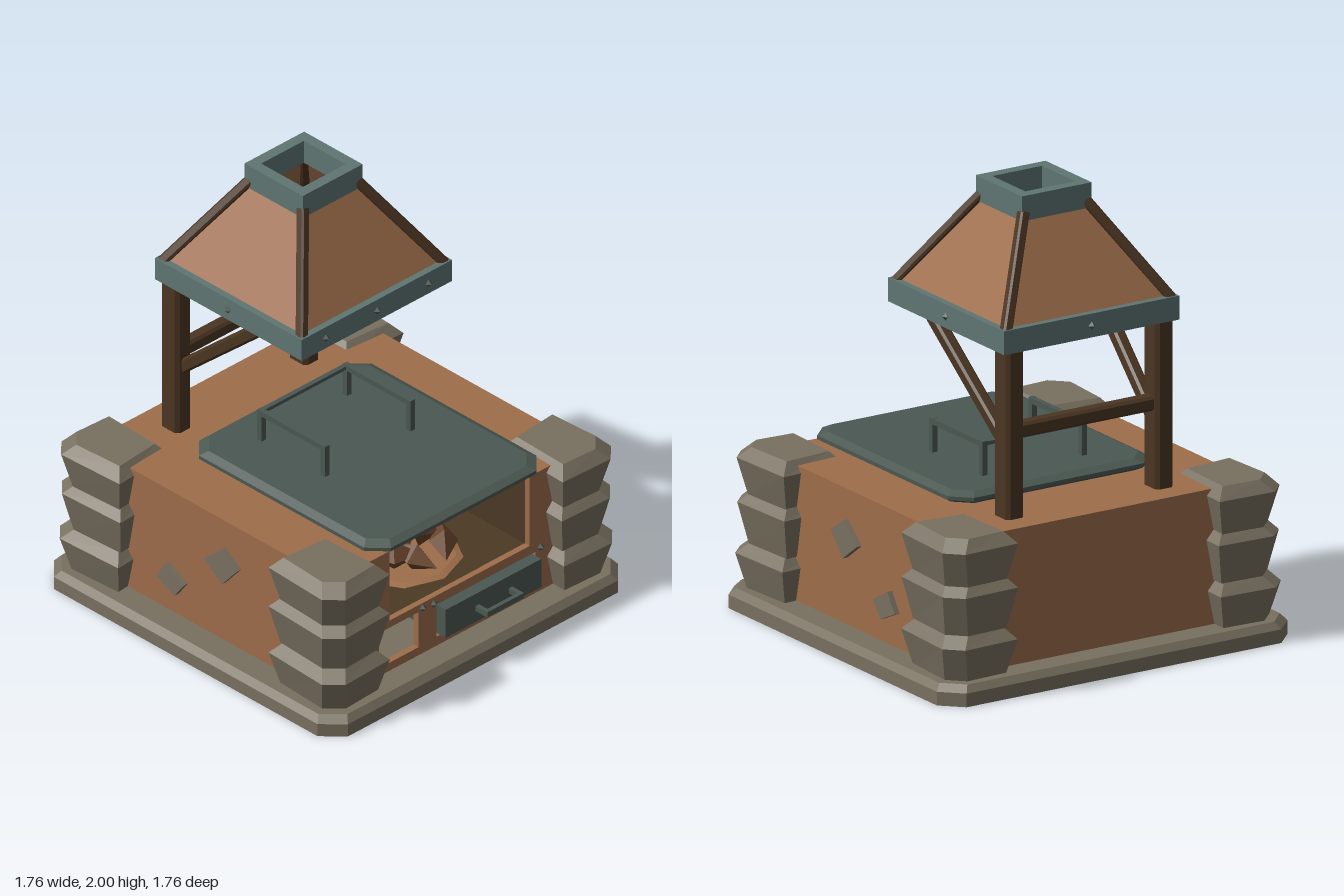
import * as THREE from 'three';

const mat = (name, color, opts = {}) => {
  const m = new THREE.MeshStandardMaterial({ color, ...opts });
  m.name = name;
  return m;
};

// Closed solid through horizontal rings of points, counter-clockwise seen from above
function loft(rings) {
  const p = [], n = rings[0].length, top = rings[rings.length - 1], bot = rings[0];
  const tri = (a, b, c) => p.push(...a, ...b, ...c);
  for (let r = 0; r < rings.length - 1; r++) {
    for (let i = 0; i < n; i++) {
      const j = (i + 1) % n, A = rings[r], B = rings[r + 1];
      tri(A[i], A[j], B[j]);
      tri(A[i], B[j], B[i]);
    }
  }
  for (let i = 1; i < n - 1; i++) {
    tri(top[0], top[i], top[i + 1]);
    tri(bot[0], bot[i + 1], bot[i]);
  }
  const g = new THREE.BufferGeometry();
  g.setAttribute('position', new THREE.Float32BufferAttribute(p, 3));
  g.computeVertexNormals();
  return g;
}

// Rectangle ring with cut corners
const octRing = (hx, hz, c, y) => [
  [hx, y, hz - c], [hx, y, c - hz], [hx - c, y, -hz], [c - hx, y, -hz],
  [-hx, y, c - hz], [-hx, y, hz - c], [c - hx, y, hz], [hx - c, y, hz],
];

const path = (pts, Type = THREE.Shape) => new Type(pts.map(([x, y]) => new THREE.Vector2(x, y)));
const rect = (x0, y0, x1, y1) => [[x0, y0], [x1, y0], [x1, y1], [x0, y1]];
function extrude(pts, holes, depth) {
  const s = path(pts);
  s.holes = holes.map(h => path(h, THREE.Path));
  return new THREE.ExtrudeGeometry(s, { depth, bevelEnabled: false });
}

export function createModel() {
  const root = new THREE.Group();
  root.name = 'outdoorOven';
  const clay = mat('clay', 0x9e6d4a, { side: THREE.DoubleSide });
  const stone = mat('stone', 0x787060);
  const steel = mat('steel', 0x5f7673);
  const iron = mat('darkIron', 0x4b5852);
  const wood = mat('darkWood', 0x4b3522);
  const soot = mat('soot', 0x4c3924);
  const log = mat('firewood', 0x6b452c);

  const add = (name, geo, material, x = 0, y = 0, z = 0) => {
    const m = new THREE.Mesh(geo, material);
    m.name = name;
    m.position.set(x, y, z);
    root.add(m);
    return m;
  };
  // Box given by its minimum and maximum corners
  const box = (name, m, x0, y0, z0, x1, y1, z1) => add(name,
    new THREE.BoxGeometry(x1 - x0, y1 - y0, z1 - z0), m, (x0 + x1) / 2, (y0 + y1) / 2, (z0 + z1) / 2);
  // Chamfered beam between two points
  const beam = (name, m, a, b, w, d = w) => {
    const A = new THREE.Vector3(...a), dir = new THREE.Vector3(...b).sub(A), c = w * 0.18;
    const o = add(name, loft([octRing(w / 2, d / 2, c, 0), octRing(w / 2, d / 2, c, dir.length())]), m, ...a);
    o.quaternion.setFromUnitVectors(new THREE.Vector3(0, 1, 0), dir.normalize());
  };
  const rivet = (x, y, z) => add('rivet', new THREE.OctahedronGeometry(0.018), iron, x, y, z);

  // Base slab
  add('base', loft([octRing(0.88, 0.88, 0.09, 0), octRing(0.88, 0.88, 0.09, 0.06),
    octRing(0.855, 0.855, 0.085, 0.09)]), stone);

  // Hollow body: front with fire opening, niche and drawer hole
  add('frontWall', extrude(
    [[-0.74, 0.09], [0.74, 0.09], [0.74, 0.685], [0.41, 0.685], [0.41, 0.34], [-0.41, 0.34], [-0.41, 0.685], [-0.74, 0.685]],
    [rect(-0.47, 0.13, -0.24, 0.305), rect(-0.135, 0.135, 0.445, 0.295)], 0.03), clay, 0, 0, 0.71);
  box('backWall', clay, -0.74, 0.09, -0.74, 0.74, 0.685, -0.71);
  for (const s of [-1, 1]) {
    box('sideWall', clay, s * 0.725 - 0.015, 0.09, -0.71, s * 0.725 + 0.015, 0.685, 0.71);
  }
  add('bodyTop', extrude(
    [[-0.74, -0.74], [-0.41, -0.74], [-0.41, 0.3], [0.41, 0.3], [0.41, -0.74], [0.74, -0.74], [0.74, 0.74], [-0.74, 0.74]],
    [], 0.025).rotateX(-Math.PI / 2), clay, 0, 0.662, 0);

  // Firebox lining
  box('fireboxFloor', soot, -0.43, 0.32, -0.32, 0.43, 0.34, 0.712);
  box('fireboxBack', soot, -0.43, 0.34, -0.32, 0.43, 0.684, -0.3);
  for (const s of [-1, 1]) box('fireboxSide', soot, s * 0.42 - 0.01, 0.34, -0.3, s * 0.42 + 0.01, 0.684, 0.712);

  // Firewood heap on a pale bed
  add('emberBed', new THREE.CylinderGeometry(0.24, 0.27, 0.009, 9), clay, -0.02, 0.345, 0.4);
  for (let i = 0; i < 9; i++) {
    const a = i * 2.4, r = i === 0 ? 0 : 0.12 + 0.03 * (i % 4);
    const g = new THREE.OctahedronGeometry(0.09).scale(1.25, 0.75 + 0.12 * (i % 3), 0.7);
    const m = add('firewood', g, log, -0.02 + r * Math.cos(a), 0.41 + 0.012 * (i % 3), 0.4 + r * 0.8 * Math.sin(a));
    m.rotation.set(0.2 * Math.sin(i), a, 0.3 * Math.cos(i * 2));
  }

  // Corner columns of three flared stones
  for (const sx of [-1, 1]) for (const sz of [-1, 1]) {
    const ring = (inset, y, dx, dz) => {
      const x0 = 0.51 + inset + dx, x1 = 0.85 - inset + dx, z0 = 0.45 + inset + dz, z1 = 0.855 - inset + dz, c = 0.07;
      const pts = [[x0, z1 - 0.01], [x1 - c, z1], [x1, z1 - c], [x1 - 0.015, z0], [x0 + 0.01, z0 + 0.02]]
        .map(([x, z]) => [sx * x, y, sz * z]);
      return sx * sz < 0 ? pts.reverse() : pts;
    };
    [0.09, 0.285, 0.5].forEach((y, i) => {
      const top = [0.29, 0.515, 0.71][i], d = [0, -0.006, -0.004][i];
      add('cornerStone', loft([ring(0.035, y, d, d), ring(0, top - 0.05, d, d), ring(0.045, top, d, d)]), stone);
    });
  }

  // Exposed stones on both sides
  const patches = [
    [[0.19, 0.49], [0.095, 0.555], [-0.01, 0.465], [0.1, 0.385]],
    [[-0.13, 0.27], [-0.24, 0.33], [-0.295, 0.245], [-0.185, 0.195]],
  ];
  for (const s of [-1, 1]) for (const p of patches) {
    const g = extrude(p.map(([z, y]) => [-z, y]), [], 0.03).rotateY(Math.PI / 2);
    add('sideStone', g, stone, s > 0 ? 0.735 : -0.765, 0, 0);
  }

  // Drawer with pull, and front rivets
  box('drawer', iron, -0.125, 0.145, 0.3, 0.435, 0.285, 0.785);
  box('drawerPull', iron, 0.05, 0.2, 0.835, 0.265, 0.225, 0.855);
  for (const x of [0.06, 0.255]) box('drawerPullArm', iron, x - 0.01, 0.2, 0.78, x + 0.01, 0.225, 0.836);
  for (const [x, y] of [[-0.49, 0.32], [-0.22, 0.32], [-0.155, 0.31], [0.47, 0.31]]) rivet(x, y, 0.745);

  // Lid with two side handles and a cross rod
  add('lid', loft([octRing(0.475, 0.545, 0.07, 0.688), octRing(0.505, 0.575, 0.08, 0.705),
    octRing(0.505, 0.575, 0.08, 0.722), octRing(0.47, 0.54, 0.07, 0.74)]), iron, 0, 0, 0.19);
  for (const s of [-1, 1]) {
    const x = s * 0.25;
    for (const z of [-0.19, 0.19]) box('handlePost', iron, x - 0.013, 0.735, z - 0.013, x + 0.013, 0.89, z + 0.013);
    box('handleBar', iron, x - 0.012, 0.864, -0.18, x + 0.012, 0.889, 0.18);
  }
  box('handleRod', iron, -0.24, 0.87, -0.198, 0.24, 0.886, -0.182);

  // Timber posts, braces and cross beam
  for (const s of [-1, 1]) {
    beam('post', wood, [s * 0.375, 0.68, -0.575], [s * 0.375, 1.44, -0.575], 0.09, 0.11);
    beam('brace', wood, [s * 0.365, 0.98, -0.56], [s * 0.405, 1.45, -0.02], 0.055, 0.06);
  }
  beam('crossBeam', wood, [-0.36, 1.06, -0.575], [0.36, 1.06, -0.575], 0.065, 0.065);

  // Hood: rim, sloping panels, ridge timbers and chimney collar
  const cz = -0.195, q = Math.SQRT2;
  const frame = (name, o, i, h, y) => add(name,
    extrude(rect(-o, -o, o, o), [rect(-i, -i, i, i)], h).rotateX(-Math.PI / 2), steel, 0, y, cz);
  frame('hoodRim', 0.44, 0.4, 0.105, 1.42);
  frame('chimneyCollar', 0.175, 0.125, 0.11, 1.89);
  const panels = new THREE.CylinderGeometry(0.15 * q, 0.425 * q, 0.42, 4, 1, true)
    .rotateY(Math.PI / 4).toNonIndexed();
  panels.computeVertexNormals();
  add('hoodPanels', panels, clay, 0, 1.71, cz);
  for (const sx of [-1, 1]) for (const sz of [-1, 1]) {
    beam('ridgeTimber', wood, [sx * 0.415, 1.51, cz + sz * 0.415], [sx * 0.155, 1.92, cz + sz * 0.155], 0.045);
  }

  // Rim rivets
  for (const x of [-0.3, 0, 0.3]) rivet(x, 1.473, cz + 0.442);
  rivet(0, 1.473, cz - 0.442);
  for (const s of [-1, 1]) rivet(s * 0.442, 1.473, cz);

  return root;
}
